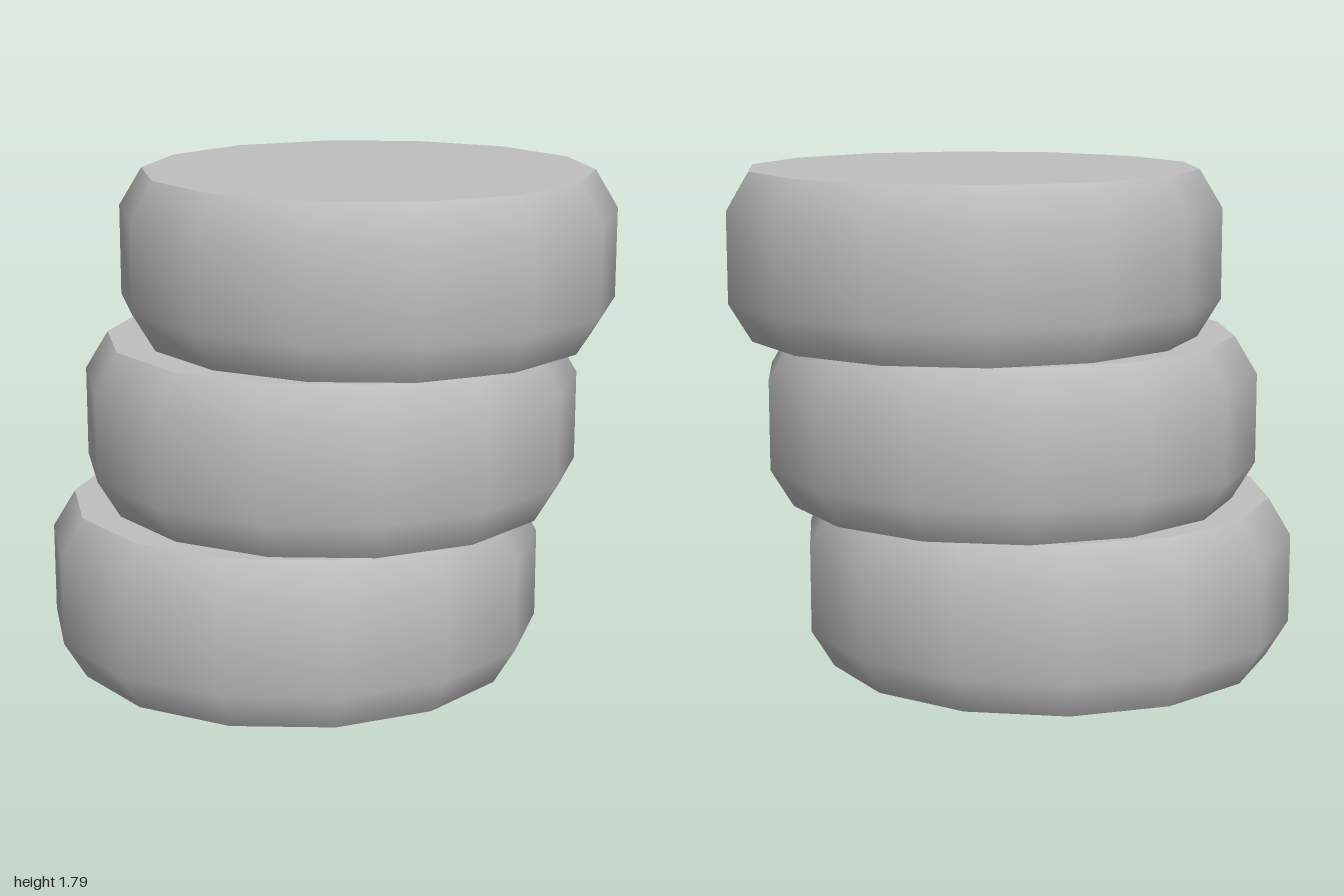
import * as THREE from 'three';

const SIDES = 14;
const RADIUS = 0.892;
const RIM = 0.81;
const HEIGHT = 0.595;
const BEVEL = 0.136;

export function createModel() {
  const model = new THREE.Group();
  model.name = 'discStack';
  const grey = new THREE.MeshStandardMaterial({ color: 0xc0c0c0 });
  grey.name = 'grey';

  // Smooth bevelled wall, with a corner pointing along +x
  const profile = [
    [RIM, 0], [RADIUS, BEVEL], [RADIUS, HEIGHT - BEVEL], [RIM, HEIGHT],
  ].map(([r, y]) => new THREE.Vector2(r, y));
  const wallGeometry = new THREE.LatheGeometry(profile, SIDES, Math.PI / 2);

  // Flat faces with sharp rims
  const topGeometry = new THREE.CircleGeometry(RIM, SIDES).rotateX(-Math.PI / 2).translate(0, HEIGHT, 0);
  const bottomGeometry = new THREE.CircleGeometry(RIM, SIDES).rotateX(Math.PI / 2);

  // Three discs stepping diagonally as they rise
  ['bottomDisc', 'middleDisc', 'topDisc'].forEach((name, i) => {
    const disc = new THREE.Group();
    disc.name = name;
    const parts = { wall: wallGeometry, topFace: topGeometry, bottomFace: bottomGeometry };
    for (const [part, geometry] of Object.entries(parts)) {
      const mesh = new THREE.Mesh(geometry, grey);
      mesh.name = part;
      disc.add(mesh);
    }
    disc.position.set((i - 1) * 0.108, i * HEIGHT, (1 - i) * 0.081);
    model.add(disc);
  });
  return model;
}
